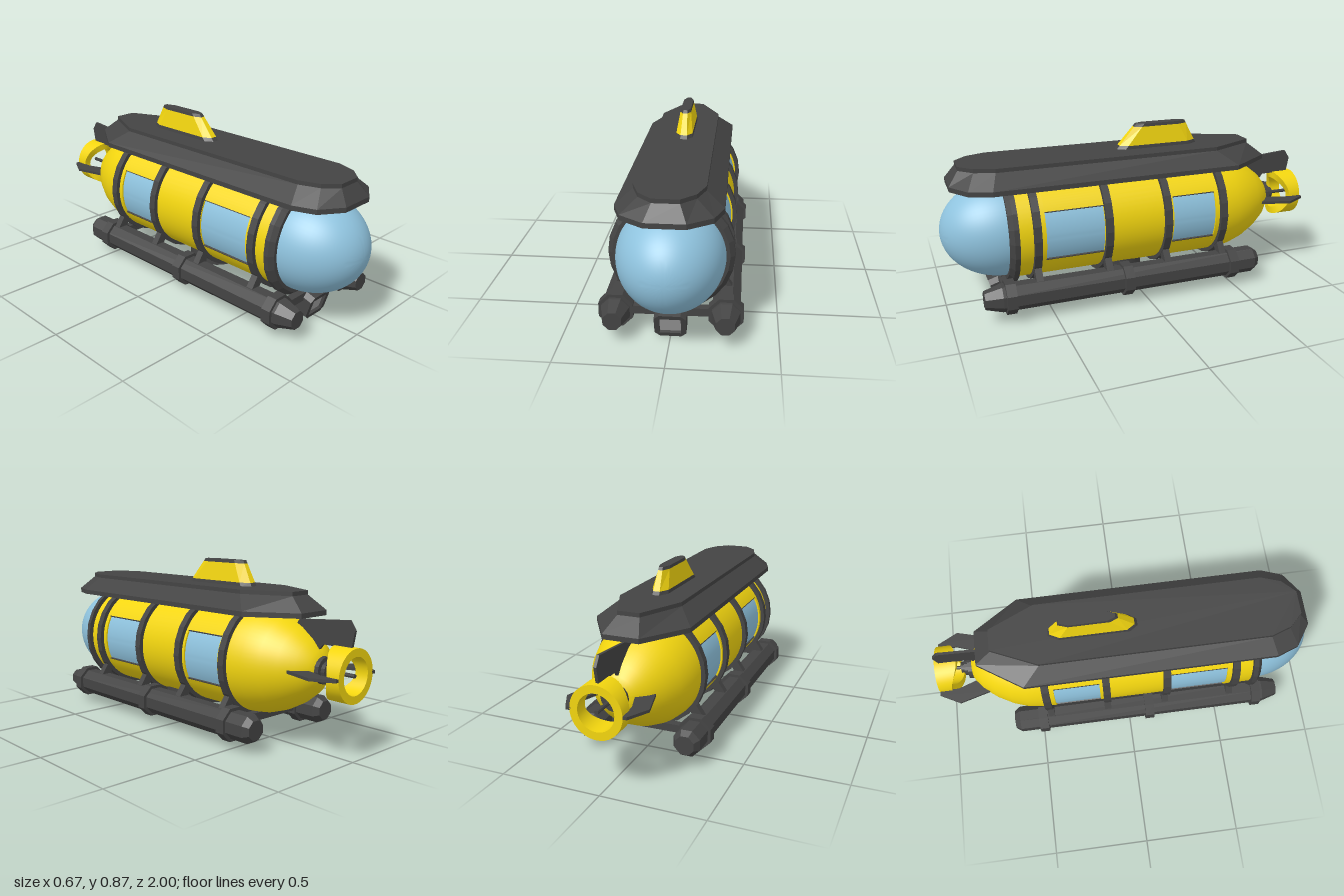
import * as THREE from 'three';
import { toCreasedNormals } from 'three/addons/utils/BufferGeometryUtils.js';

const AXIS = 0.39, R = 0.265;
const mat = (color, extra = {}) => new THREE.MeshStandardMaterial({ color, ...extra });
const yellow = mat(0xf2d50f), dark = mat(0x444444), darkFlat = mat(0x444444, { flatShading: true });
const yellowFlat = mat(0xf2d50f, { flatShading: true });
const glass = mat(0x8fc3de), lensGrey = mat(0xa0a0a0);

export function createModel() {
  const model = new THREE.Group();

  const add = (name, geo, material, x = 0, y = 0, z = 0) => {
    const m = new THREE.Mesh(geo, material);
    m.name = name;
    m.position.set(x, y, z);
    model.add(m);
    return m;
  };

  // Lathe around the z axis; profile is [radius, z] with z rising on the outside
  const turn = (profile, segs, start = 0, length = Math.PI * 2) => {
    const pts = profile.map(([r, z]) => new THREE.Vector2(r, z));
    const g = new THREE.LatheGeometry(pts, segs, start, length).rotateX(Math.PI / 2);
    return toCreasedNormals(g, 0.5);
  };
  const band = (r0, r1, z0, z1) => [[r0, z0], [r1, z0], [r1, z1], [r0, z1], [r0, z0]];

  // Solid through horizontal outlines; half holds [x, z] from front to back on the left side
  const loft = (sections) => {
    const pos = [], idx = [];
    const n = sections[0].half.length * 2;
    for (const { y, half } of sections) {
      const ring = [...half, ...half.map(([x, z]) => [-x, z]).reverse()];
      ring.forEach(([x, z]) => pos.push(x, y, z));
    }
    const top = (sections.length - 1) * n;
    for (let s = 0; s < top; s += n)
      for (let i = 0; i < n; i++) {
        const j = (i + 1) % n;
        idx.push(s + i, s + j, s + n + j, s + i, s + n + j, s + n + i);
      }
    for (let i = 1; i < n - 1; i++) idx.push(0, i + 1, i, top, top + i, top + i + 1);
    const g = new THREE.BufferGeometry();
    g.setAttribute('position', new THREE.Float32BufferAttribute(pos, 3));
    g.setIndex(idx);
    return toCreasedNormals(g, 0.3);
  };

  // Hull: full sections, and split sections leaving window openings
  for (const [z0, z1] of [[0.52, 0.69], [-0.155, 0.22], [-0.46, -0.395]])
    add('hullSection', turn([[0.245, z0], [R, z0], [R, z1], [0.245, z1]], 64), yellow, 0, AXIS);
  const low = 1.12, high = 2.08;
  for (const [z0, z1] of [[0.22, 0.52], [-0.395, -0.155]]) {
    const wall = [[R, z0], [R, z1]];
    add('hullRoof', turn(wall, 40, high, 2 * (Math.PI - high)), yellow, 0, AXIS);
    add('hullFloor', turn(wall, 24, -low, 2 * low), yellow, 0, AXIS);
    for (const start of [low, -high]) {
      add('window', turn([[0.257, z0], [0.257, z1]], 16, start, high - low), glass, 0, AXIS);
      for (const a of [start, start + high - low]) {
        const rim = add('windowRim', new THREE.BoxGeometry(0.004, 0.018, z1 - z0), dark,
          Math.sin(a) * 0.257, AXIS - Math.cos(a) * 0.257, (z0 + z1) / 2);
        rim.rotation.z = a;
      }
    }
  }

  // Rounded tail and glass nose
  add('tail', turn([[0, -0.825], [0.06, -0.82], [0.09, -0.803], [0.135, -0.765], [0.185, -0.7],
    [0.228, -0.62], [0.255, -0.54], [R, -0.46]], 64), yellow, 0, AXIS);
  const dome = [];
  for (let i = 0; i <= 20; i++) {
    const a = i / 20 * Math.PI / 2;
    dome.push([0.25 * Math.cos(a), 0.69 + 0.31 * Math.sin(a)]);
  }
  add('noseDome', turn(dome, 64), glass, 0, AXIS);

  // Hull rings
  add('noseRing', turn([[0.245, 0.655], [0.29, 0.655], [0.29, 0.68], [0.268, 0.7], [0.245, 0.7]], 24),
    darkFlat, 0, AXIS);
  const ringZ = [0.565, 0.2, -0.12, -0.437];
  for (const z of ringZ)
    add('hullRing', turn(band(0.25, 0.287, z - 0.019, z + 0.019), 24), darkFlat, 0, AXIS);

  // Deck
  const deckWide = [[0.09, 0.945], [0.2, 0.87], [0.24, 0.76], [0.24, -0.53], [0.09, -0.76]];
  const deckNarrow = [[0.06, 0.895], [0.125, 0.83], [0.16, 0.73], [0.16, -0.44], [0.055, -0.675]];
  add('deck', loft([{ y: 0.628, half: deckWide }, { y: 0.652, half: deckWide },
    { y: 0.72, half: deckNarrow }, { y: 0.74, half: deckNarrow }]), darkFlat);

  // Conning tower, tapering upward
  const towerAt = (y) => {
    const t = (y - 0.74) / 0.125, L = THREE.MathUtils.lerp;
    const w = L(0.045, 0.026, t), f = L(0.07, -0.04, t), b = L(-0.38, -0.315, t);
    return { y, half: [[w * 0.4, f], [w, f - 0.04], [w, b + 0.05], [w * 0.4, b]] };
  };
  add('towerBase', loft([towerAt(0.738), towerAt(0.757)]), darkFlat);
  add('tower', loft([towerAt(0.757), towerAt(0.85)]), yellowFlat);
  add('towerCap', loft([towerAt(0.85), towerAt(0.865)]), darkFlat);

  // Tail fins: one on top, one on each side; points are [distance from axis, z]
  const fin = (points) => {
    const shape = new THREE.Shape(points.map(([r, z]) => new THREE.Vector2(r, z)));
    return new THREE.ExtrudeGeometry(shape, { depth: 0.014, bevelEnabled: false })
      .rotateX(Math.PI / 2).translate(0, 0.007, 0);
  };
  const sideFin = [[0.05, -0.74], [0.155, -0.73], [0.2, -0.895], [0.145, -1], [0.12, -1], [0.12, -0.9], [0.085, -0.8]];
  const topFin = [[0.16, -0.64], [0.222, -0.68], [0.245, -0.96], [0.2, -0.99], [0.12, -0.975], [0.12, -0.82], [0.07, -0.78]];
  for (const a of [0, Math.PI]) add('sideFin', fin(sideFin), darkFlat, 0, AXIS).rotation.z = a;
  add('topFin', fin(topFin), darkFlat, 0, AXIS).rotation.z = Math.PI / 2;

  // Propeller hub and shaft
  add('propellerHub', turn([[0, -0.88], [0.03, -0.88], [0.03, -0.86], [0.045, -0.86], [0.045, -0.84],
    [0.065, -0.84], [0.065, -0.81]], 16), darkFlat, 0, AXIS);
  add('propellerShaft', turn([[0, -0.995], [0.01, -0.995], [0.01, -0.86]], 8), darkFlat, 0, AXIS);

  // Nozzle ring, its front edge reaching further at top and bottom
  const nozzle = new THREE.LatheGeometry(band(0.088, 0.126, -1, -0.935)
    .map(([r, z]) => new THREE.Vector2(r, z)), 40).rotateX(Math.PI / 2);
  const p = nozzle.attributes.position;
  for (let i = 0; i < p.count; i++)
    if (p.getZ(i) > -0.97) {
      const s = p.getY(i) / Math.hypot(p.getX(i), p.getY(i));
      p.setZ(i, -0.935 + 0.05 * s * s);
    }
  add('nozzle', toCreasedNormals(nozzle, 0.5), yellow, 0, AXIS);

  // Skids with clamps and struts to the hull rings
  const oct = (profile) => turn(profile, 8).rotateZ(Math.PI / 8);
  const clampZ = [0.715, 0.11, -0.485];
  for (const s of [-1, 1]) {
    const x = 0.255 * s, y = 0.115;
    add('skid', oct([[0, -0.645], [0.05, -0.645], [0.071, -0.615], [0.071, 0.755], [0.046, 0.84], [0, 0.84]]),
      darkFlat, x, y);
    for (const z of clampZ)
      add('skidClamp', oct([[0.05, z - 0.025], [0.087, z - 0.025], [0.087, z + 0.025], [0.05, z + 0.025]]),
        darkFlat, x, y);
    for (const z of ringZ) {
      const foot = add('skidStrut', new THREE.BoxGeometry(0.045, 0.13, 0.036), darkFlat, 0.24 * s, 0.195, z);
      foot.rotation.z = s * 0.6;
    }
  }
  for (const z of clampZ)
    add('crossBar', new THREE.BoxGeometry(0.4, 0.04, 0.04), darkFlat, 0, 0.12, z);

  // Belly hatch: open collar with a recessed lid
  const collar = [[0.1, 0], [0.14, 0], [0.14, 0.1], [0.1, 0.1], [0.1, 0]].map(([r, y]) => new THREE.Vector2(r, y));
  add('hatchCollar', toCreasedNormals(new THREE.LatheGeometry(collar, 32), 0.5), dark, 0, 0.098, 0.08);
  add('hatchLid', new THREE.CylinderGeometry(0.105, 0.105, 0.03, 32), mat(0x777777), 0, 0.128, 0.08);

  // Headlamp: chamfered frame with a square lens, tilted down
  const lamp = new THREE.Group();
  lamp.name = 'headlamp';
  const a = 0.074, c = 0.05, h = 0.05;
  const corners = [[a, -c], [a, c], [c, a], [-c, a], [-a, c], [-a, -c], [-c, -a], [c, -a]];
  const frame = new THREE.Shape(corners.map(([x, y]) => new THREE.Vector2(x, y * 0.9)));
  frame.holes.push(new THREE.Path([[-h, -h], [-h, h], [h, h], [h, -h]].map(([x, y]) => new THREE.Vector2(x, y * 0.9))));
  const frameMesh = new THREE.Mesh(new THREE.ExtrudeGeometry(frame, { depth: 0.07, bevelEnabled: false }), darkFlat);
  frameMesh.name = 'lampFrame';
  const lens = new THREE.Mesh(new THREE.BoxGeometry(0.102, 0.092, 0.03), lensGrey);
  lens.name = 'lampLens';
  lens.position.z = 0.04;
  const back = new THREE.Mesh(new THREE.CylinderGeometry(0.095, 0.06, 0.03, 4)
    .rotateY(Math.PI / 4).rotateX(Math.PI / 2), darkFlat);
  back.name = 'lampBack';
  back.position.z = -0.014;
  lamp.add(frameMesh, lens, back);
  lamp.position.set(0, 0.08, 0.7);
  lamp.rotation.x = 0.3;
  model.add(lamp);
  add('lampBracket', new THREE.BoxGeometry(0.09, 0.05, 0.06), darkFlat, 0, 0.135, 0.68);

  return model;
}
